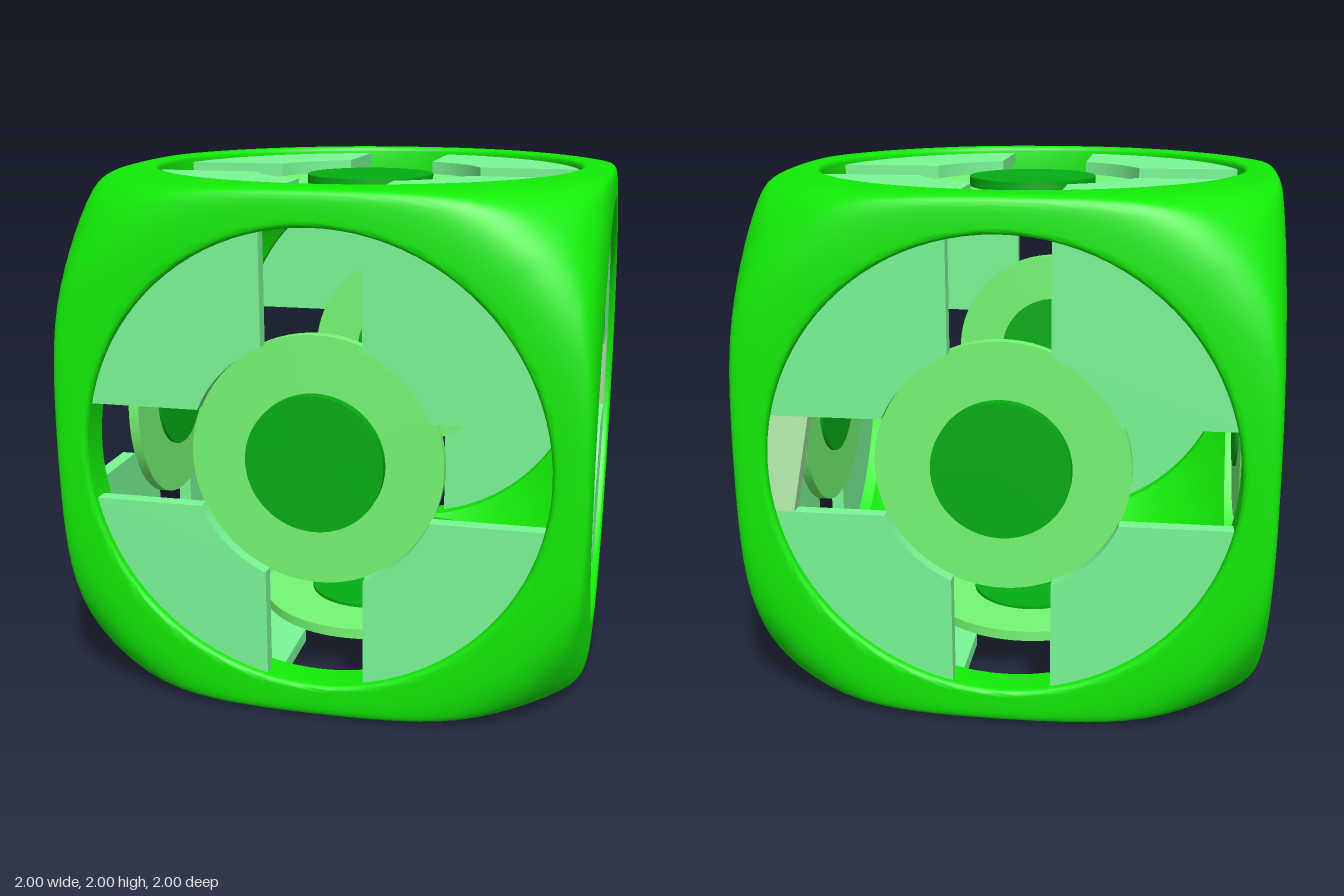
import * as THREE from 'three';
import { mergeGeometries, mergeVertices, toCreasedNormals } from 'three/addons/utils/BufferGeometryUtils.js';

const HOLE = 0.86;   // radius of the round opening in each face
const SLOT = 0.185;  // half width of the cross-shaped gap between plates
const DISC = 0.468;  // radius of the central disc
const FACES = [
  { name: 'frontPanel', rx: 0, ry: 0 },
  { name: 'leftPanel', rx: 0, ry: Math.PI / 2, fillerSide: 1 },
  { name: 'backPanel', rx: 0, ry: Math.PI, fillerSide: -1 },
  { name: 'rightPanel', rx: 0, ry: -Math.PI / 2 },
  { name: 'bottomPanel', rx: Math.PI / 2, ry: 0 },
  { name: 'topPanel', rx: -Math.PI / 2, ry: 0 },
];

// Point of the outer skin along a direction: a cube softly blended with a sphere
function skin(x, y, z) {
  const n = 60, m = 30, R = 1.48;
  const cube = Math.pow(Math.abs(x) ** n + Math.abs(y) ** n + Math.abs(z) ** n, 1 / n);
  const ball = Math.hypot(x, y, z) / R;
  return new THREE.Vector3(x, y, z).divideScalar(Math.pow(cube ** m + ball ** m, 1 / m));
}

// One face of the shell: inner sphere, tunnel wall, small rounded lip, outer skin
function shellFace() {
  const segs = 96, rings = [], pos = [], index = [];
  const innerR = HOLE * Math.SQRT2, k0 = 0.88, lipZ = 0.978;
  for (let j = 0; j <= segs; j++) {
    const t = (j / segs) * Math.PI * 2, c = Math.cos(t), s = Math.sin(t);
    const kMax = 1 / Math.max(Math.abs(c), Math.abs(s));
    const col = [];
    for (let i = 0; i <= 6; i++) {
      const k = kMax + (1 - kMax) * i / 6;
      col.push(new THREE.Vector3(c * k, s * k, 1).setLength(innerR));
    }
    const edge = skin(c * k0, s * k0, 1), r0 = Math.hypot(edge.x, edge.y);
    for (let i = 0; i <= 4; i++) {
      const a = (i / 4) * Math.PI / 2;
      const r = HOLE + (r0 - HOLE) * (1 - Math.cos(a));
      col.push(new THREE.Vector3(c * r, s * r, lipZ + (edge.z - lipZ) * Math.sin(a)));
    }
    for (let i = 1; i <= 16; i++) {
      const k = k0 + (kMax - k0) * i / 16;
      col.push(skin(c * k, s * k, 1));
    }
    rings.push(col);
  }
  const rows = rings[0].length;
  rings.forEach(col => col.forEach(p => pos.push(p.x, p.y, p.z)));
  for (let j = 0; j < segs; j++) for (let i = 0; i < rows - 1; i++) {
    const a = j * rows + i, d = a + rows;
    index.push(a, a + 1, d + 1, a, d + 1, d);
  }
  const g = new THREE.BufferGeometry();
  g.setAttribute('position', new THREE.Float32BufferAttribute(pos, 3));
  g.setIndex(index);
  return g;
}

// Flat panel pieces share one layer just below the rim
const panel = shape => new THREE.ExtrudeGeometry(shape, { depth: 0.055, bevelEnabled: false, curveSegments: 24 })
  .translate(0, 0, 0.915);

// Quarter plate: a ring sector around the disc, cut back by the cross-shaped gap
function plateGeometry() {
  const R = 0.87, outer = Math.asin(SLOT / R), inner = Math.asin(SLOT / DISC), shape = new THREE.Shape();
  shape.absarc(0, 0, R, outer, Math.PI / 2 - outer, false);
  shape.absarc(0, 0, DISC, Math.PI / 2 - inner, inner, true);
  shape.closePath();
  return panel(shape);
}

// Small slanted filler at the end of a slot
function fillerGeometry(side) {
  const pts = [[0.7, SLOT], [0.77, -SLOT], [0.85, -SLOT], [0.87, 0], [0.85, SLOT]];
  return panel(new THREE.Shape(pts.map(([x, y]) => new THREE.Vector2(side * x, y))));
}

const roundDisc = (radius, back, front) => new THREE.CylinderGeometry(radius, radius, front - back, 80)
  .rotateX(Math.PI / 2).translate(0, 0, (back + front) / 2);

export function createModel() {
  const model = new THREE.Group();
  model.name = 'hollowCube';
  const body = new THREE.Group();
  body.name = 'body';
  body.position.y = 1;
  model.add(body);
  const add = (parent, name, geometry, mat) => {
    const mesh = new THREE.Mesh(geometry, mat);
    mesh.name = name;
    parent.add(mesh);
    return mesh;
  };
  const material = color => new THREE.MeshStandardMaterial({ color });

  // Rounded shell, welded across the cube edges so it shades smoothly
  const sides = FACES.map(({ rx, ry }) => shellFace().rotateX(rx).rotateY(ry));
  const shell = toCreasedNormals(mergeVertices(mergeGeometries(sides), 1e-4), 0.75);
  add(body, 'shell', shell, material(0x12ec06));

  // Four plates around a recessed disc with a knob in every opening
  const plate = plateGeometry();
  const disc = roundDisc(DISC + 0.004, 0.875, 0.917);
  const knob = roundDisc(0.258, 0.862, 0.955);
  const plateMat = material(0x7af896), discMat = material(0x76f874);
  const knobMat = material(0x04ae14), fillerMat = material(0xb8f4b0);
  for (const { name, rx, ry, fillerSide } of FACES) {
    const face = new THREE.Group();
    face.name = name;
    face.rotation.set(rx, ry, 0);
    for (let q = 0; q < 4; q++) add(face, 'plate', plate, plateMat).rotation.z = q * Math.PI / 2;
    add(face, 'disc', disc, discMat);
    add(face, 'knob', knob, knobMat);
    if (fillerSide) add(face, 'slotFiller', fillerGeometry(fillerSide), fillerMat);
    body.add(face);
  }

  return model;
}
